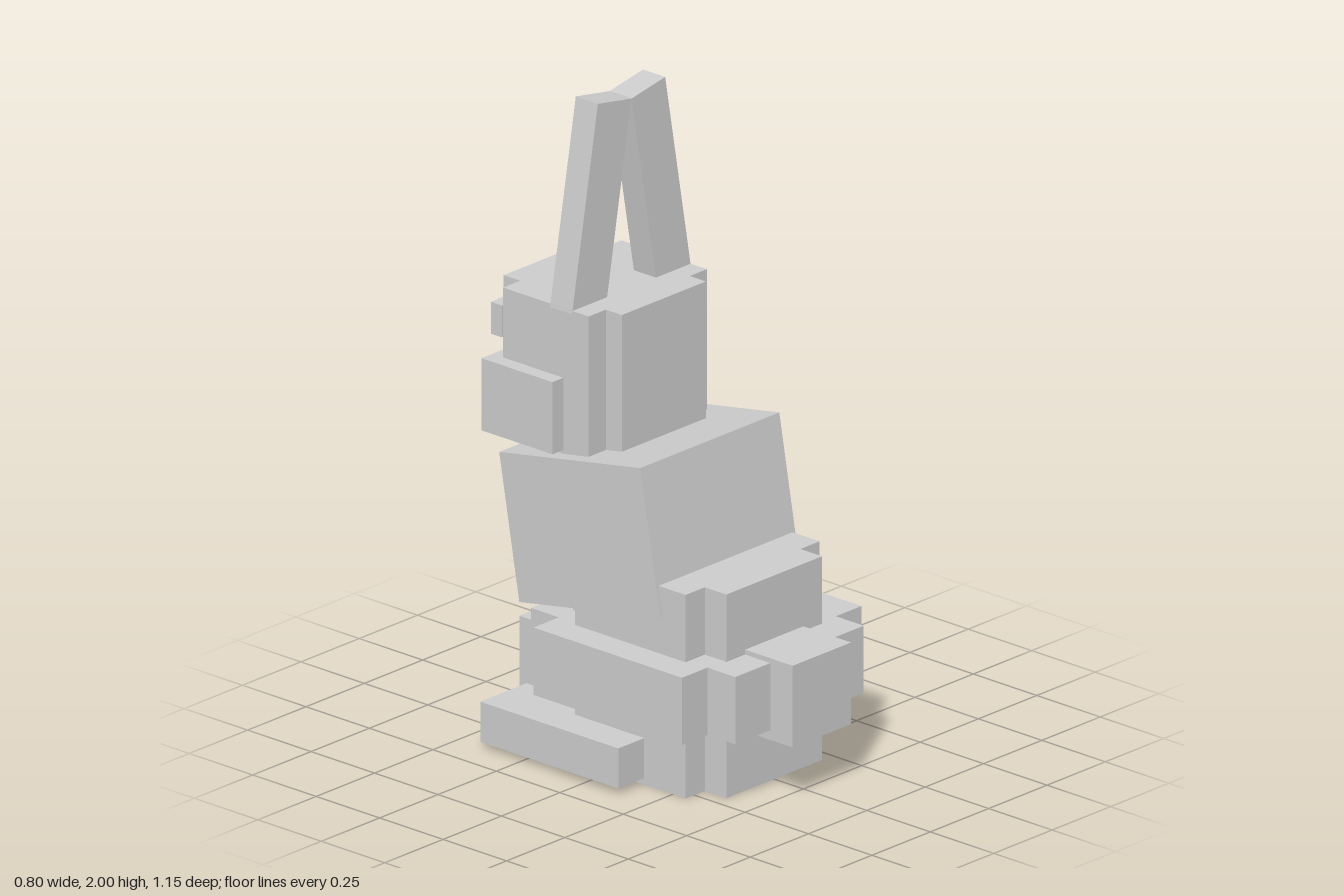
import * as THREE from 'three';

export function createModel() {
  const model = new THREE.Group();
  model.name = 'rabbit';
  const grey = new THREE.MeshStandardMaterial({ color: 0xcccccc });
  grey.name = 'light grey';

  // Box given by its minimum and maximum on each axis
  function box(name, x0, x1, y0, y1, z0, z1, parent = model) {
    const mesh = new THREE.Mesh(new THREE.BoxGeometry(x1 - x0, y1 - y0, z1 - z0), grey);
    mesh.position.set((x0 + x1) / 2, (y0 + y1) / 2, (z0 + z1) / 2);
    mesh.name = name;
    parent.add(mesh);
    return mesh;
  }
  // Box centred on x = 0
  const mid = (name, halfWidth, ...rest) => box(name, -halfWidth, halfWidth, ...rest);

  // Lower body, hips and tail: crossed boxes give stepped corners
  mid('lowerBody', 0.205, 0, 0.635, -0.22, 0.385);
  mid('lowerBodySides', 0.287, 0, 0.635, -0.135, 0.3);
  mid('hips', 0.275, 0.215, 0.425, -0.32, 0.485);
  mid('hipSides', 0.384, 0.215, 0.425, -0.21, 0.375);
  mid('tail', 0.125, 0.185, 0.44, 0.3, 0.573);

  // Leaning torso with chest plate
  const torso = new THREE.Group();
  torso.name = 'torso';
  torso.position.set(0, 0.716, -0.107);
  torso.rotation.x = -0.175;
  model.add(torso);
  mid('chest', 0.298, -0.227, 0.227, -0.282, 0.282, torso);
  mid('chestPlate', 0.195, -0.247, 0.134, -0.309, -0.27, torso);

  // Head with stepped corners and cheeks
  mid('head', 0.18, 0.928, 1.383, -0.515, -0.05);
  mid('headSides', 0.253, 0.928, 1.383, -0.45, -0.113);
  mid('cheeks', 0.3, 0.94, 1.165, -0.492, -0.213);
  mid('nose', 0.041, 1.112, 1.164, -0.562, -0.527);
  mid('mouth', 0.036, 0.985, 1.042, -0.52, -0.512);

  // Paired parts
  for (const side of [1, -1]) {
    const pair = (name, x0, x1, ...rest) =>
      box(name, Math.min(side * x0, side * x1), Math.max(side * x0, side * x1), ...rest);
    pair('foot', 0.2, 0.398, 0.02, 0.145, -0.407, 0.137);
    pair('foreleg', 0.08, 0.195, 0.053, 0.345, -0.44, -0.303);
    pair('eye', 0.098, 0.18, 1.187, 1.286, -0.565, -0.522);
    pair('pupil', 0.107, 0.142, 1.243, 1.282, -0.575, -0.56);

    // Ears lean together at the tips
    const ear = new THREE.Group();
    ear.name = 'ear';
    ear.position.set(side * 0.1275, 1.6725, 0);
    ear.rotation.z = side * 0.175;
    model.add(ear);
    mid('outerEar', 0.073, -0.317, 0.317, -0.264, -0.177, ear);
    mid('innerEar', 0.037, -0.25, 0.236, -0.284, -0.26, ear);
  }
  return model;
}
